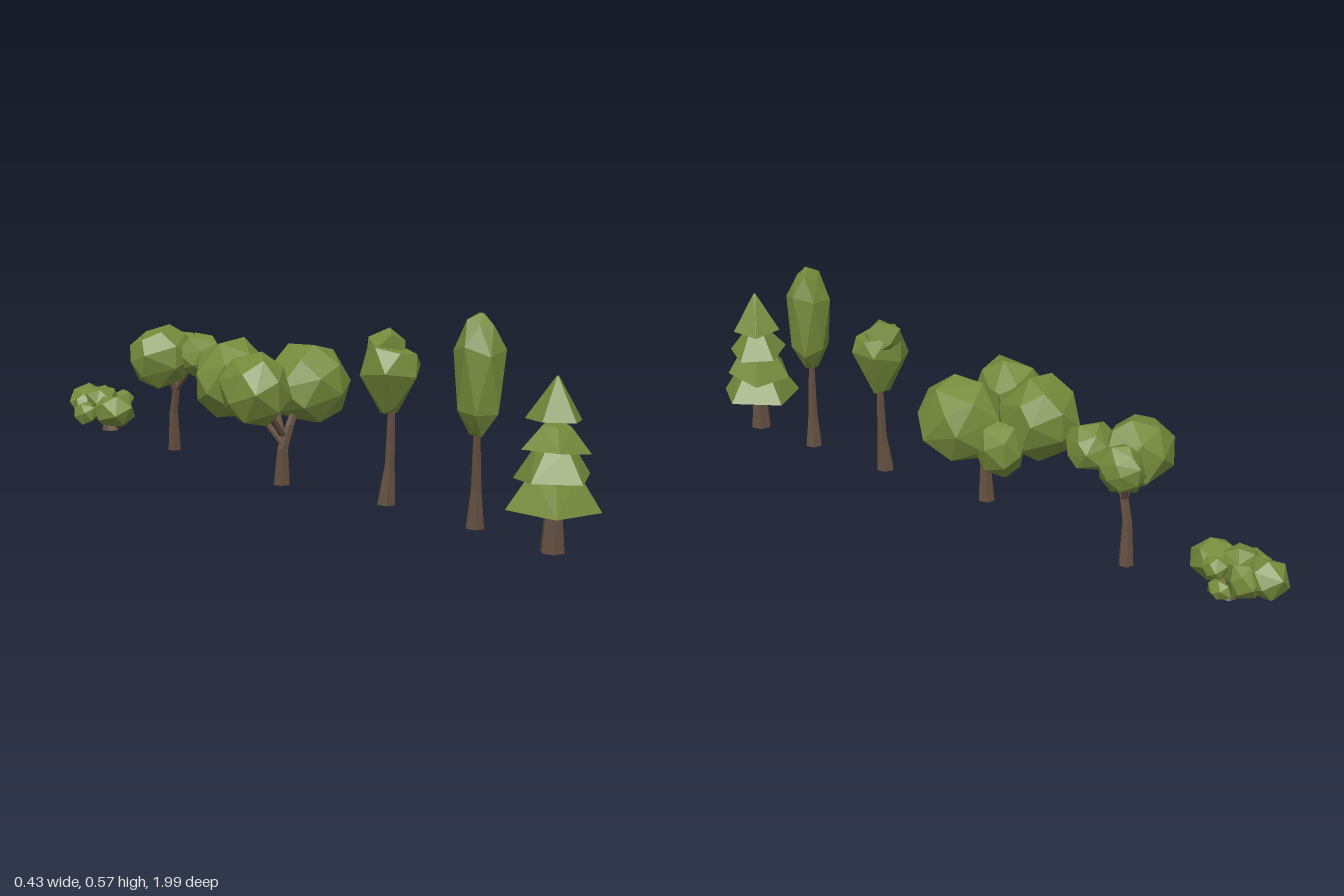
import * as THREE from 'three';
import { ConvexGeometry } from 'three/addons/geometries/ConvexGeometry.js';

export function createModel() {
  const leaf = new THREE.MeshStandardMaterial({ color: 0x768a3b });
  leaf.name = 'leafGreen';
  const bark = new THREE.MeshStandardMaterial({ color: 0x624e40 });
  bark.name = 'barkBrown';
  const root = new THREE.Group();
  root.name = 'treeRow';

  let seed = 11;
  const rnd = (a = 1) => {
    seed = (seed * 16807) % 2147483647;
    return (seed / 2147483647 - 0.5) * 2 * a;
  };
  const V = (x, y, z) => new THREE.Vector3(x, y, z);

  const plant = (name) => {
    const g = new THREE.Group();
    g.name = name;
    root.add(g);
    return g;
  };
  const hull = (group, name, points, material) => {
    const mesh = new THREE.Mesh(new ConvexGeometry(points), material);
    mesh.name = name;
    group.add(mesh);
  };

  // Horizontal ring of points, optionally uneven
  const ring = (x, y, z, r, sides, turn = 0, jitter = 0, jitterY = 0) =>
    Array.from({ length: sides }, (_, i) => {
      const a = turn + (i / sides) * Math.PI * 2;
      const q = r * (1 + rnd(jitter));
      return V(x + q * Math.cos(a), y + rnd(jitterY), z + q * Math.sin(a));
    });

  // Tapered trunk or branch through [x, y, z, radius] stations
  const limb = (group, name, stations, sides = 6) => {
    for (let i = 0; i + 1 < stations.length; i++) {
      const rings = [stations[i], stations[i + 1]].flatMap(([x, y, z, r]) => ring(x, y, z, r, sides, 0.3));
      hull(group, name, rings, bark);
    }
  };

  // Faceted leaf ball fitted to a centre and half sizes
  const blob = (group, [x, y, z, rx, ry = rx, rz = rx], n = 22) => {
    const pts = [];
    const turn = rnd(3);
    for (let i = 0; i < n; i++) {
      const h = 1 - (2 * (i + 0.5)) / n;
      const a = i * 2.39996 + turn + rnd(0.22);
      const s = Math.sqrt(1 - h * h);
      pts.push(V(s * Math.cos(a), h, s * Math.sin(a)).multiplyScalar(1 + rnd(0.05)));
    }
    const box = new THREE.Box3().setFromPoints(pts);
    const mid = box.getCenter(V());
    const half = box.getSize(V()).multiplyScalar(0.5);
    pts.forEach((p) => p.sub(mid).divide(half).multiply(V(rx, ry, rz)).add(V(x, y, z)));
    hull(group, 'leafBall', pts, leaf);
  };

  // Crown made from stacked uneven rings of [y, radius]
  const crown = (group, x, z, rings, sides) => {
    const pts = rings.flatMap(([y, r], i) => ring(x, y, z, r, sides, i * 0.5, 0.07, 0.012));
    hull(group, 'crown', pts, leaf);
  };

  // Fir: trunk and four pentagonal skirts
  const fir = plant('firTree');
  limb(fir, 'trunk', [[0.046, 0, 0.88, 0.032], [0.044, 0.15, 0.88, 0.019]]);
  const tiers = [
    [0.113, 0.128, 0.205, 0.056],
    [0.182, 0.1, 0.262, 0.046],
    [0.252, 0.088, 0.318, 0.036],
    [0.32, 0.07, 0.435, 0.003],
  ];
  tiers.forEach(([y0, r0, y1, r1], i) => {
    const turn = -0.07 + i * 0.6;
    const skirt = [
      ...ring(0.045, y0, 0.876, r0, 5, turn, 0.05, i ? 0.014 : 0.004),
      ...ring(0.043, y1, 0.88, r1, 5, turn, 0.05, 0.003),
    ];
    hull(fir, 'needleTier', skirt, leaf);
  });

  // Tall slender tree
  const tall = plant('slenderTree');
  limb(tall, 'trunk', [[0.052, 0.008, 0.635, 0.026], [0.047, 0.11, 0.64, 0.015], [0.038, 0.28, 0.645, 0.009]]);
  crown(tall, 0.035, 0.652, [[0.262, 0.022], [0.315, 0.058], [0.475, 0.063], [0.538, 0.037], [0.56, 0.008]], 6);

  // Small tree with a crown tapering downward
  const small = plant('smallTree');
  limb(small, 'trunk', [[0.045, 0.014, 0.34, 0.027], [0.05, 0.12, 0.346, 0.015], [0.05, 0.29, 0.35, 0.01]]);
  crown(small, 0.048, 0.348, [[0.268, 0.026], [0.378, 0.085], [0.435, 0.066]], 6);
  blob(small, [0.052, 0.43, 0.322, 0.052, 0.054, 0.05], 11);

  // Broad tree: forked trunk and four leaf balls
  const broad = plant('broadTree');
  limb(broad, 'trunk', [[0.002, 0.01, -0.014, 0.025], [0, 0.115, -0.008, 0.017], [0.02, 0.18, 0, 0.014], [0.05, 0.24, 0, 0.01]]);
  limb(broad, 'branch', [[0, 0.13, -0.01, 0.012], [-0.025, 0.21, -0.08, 0.01], [-0.035, 0.26, -0.14, 0.007]]);
  limb(broad, 'branch', [[0, 0.15, -0.008, 0.012], [-0.05, 0.21, 0, 0.01], [-0.1, 0.27, 0, 0.007]]);
  limb(broad, 'branch', [[0.005, 0.145, -0.015, 0.011], [0.05, 0.185, -0.075, 0.009], [0.09, 0.22, -0.12, 0.007]]);
  blob(broad, [0.09, 0.287, -0.004, 0.122, 0.115, 0.125], 24);
  blob(broad, [-0.042, 0.295, -0.178, 0.112, 0.117, 0.11], 24);
  blob(broad, [-0.116, 0.3, 0.003, 0.098, 0.1, 0.102], 20);
  blob(broad, [0.098, 0.235, -0.145, 0.058, 0.076, 0.066], 18);

  // Leaning tree: bent trunk and three leaf balls
  const leaning = plant('leaningTree');
  limb(leaning, 'trunk', [[0.06, 0.01, -0.54, 0.021], [0.052, 0.13, -0.533, 0.014], [0.05, 0.2, -0.518, 0.012], [0.055, 0.27, -0.46, 0.009]]);
  limb(leaning, 'branch', [[0.05, 0.195, -0.52, 0.011], [0.015, 0.27, -0.53, 0.008]]);
  limb(leaning, 'branch', [[0.051, 0.19, -0.52, 0.01], [0.09, 0.27, -0.55, 0.007]]);
  blob(leaning, [0, 0.309, -0.525, 0.1, 0.094, 0.092], 24);
  blob(leaning, [0.065, 0.317, -0.422, 0.066, 0.066, 0.066], 24);
  blob(leaning, [0.108, 0.302, -0.548, 0.053, 0.066, 0.066], 24);

  // Bush: short stems under a cluster of leaf balls
  const bush = plant('bush');
  limb(bush, 'stem', [[0.052, 0.024, -0.845, 0.028], [0.045, 0.045, -0.848, 0.014], [0.04, 0.09, -0.85, 0.01]]);
  [[0.03, -0.79], [-0.02, -0.86], [0.045, -0.93], [0.095, -0.87]].forEach(([x, z]) =>
    limb(bush, 'stem', [[0.048, 0.034, -0.847, 0.01], [x, 0.09, z, 0.006]]));
  [
    [0.028, 0.095, -0.79, 0.06, 0.052, 0.066],
    [0.04, 0.105, -0.942, 0.055, 0.055, 0.058],
    [-0.036, 0.087, -0.862, 0.034, 0.036, 0.042],
    [0.035, 0.125, -0.865, 0.046, 0.04, 0.05],
    [0.09, 0.1, -0.905, 0.035, 0.048, 0.045],
    [0.1, 0.065, -0.85, 0.028, 0.026, 0.035],
    [0.095, 0.118, -0.83, 0.03, 0.03, 0.034],
    [0.006, 0.1, -0.915, 0.036, 0.038, 0.035],
  ].forEach((b) => blob(bush, b, 16));

  return root;
}
